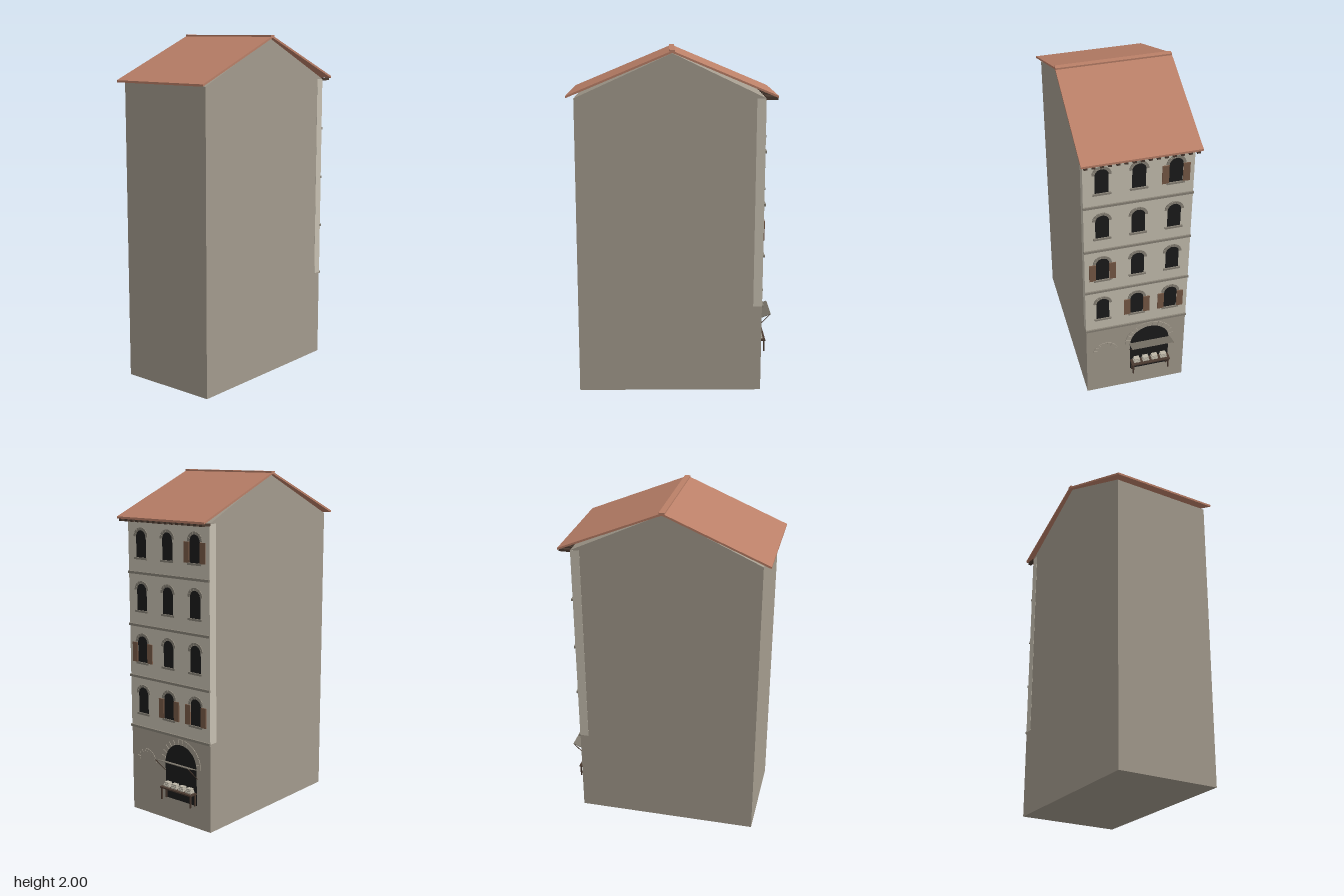
import * as THREE from 'three';

const material = (name, color, side = THREE.FrontSide) => {
  const m = new THREE.MeshStandardMaterial({ color, side });
  m.name = name;
  return m;
};

export function createModel() {
  const stone = material('wall stone', 0xa49c8e);
  const plaster = material('plaster', 0xc9c2b3);
  const tile = material('roof tile', 0xbb8068);
  const trim = material('trim stone', 0x8a8478);
  const dark = material('dark opening', 0x1b1b1b, THREE.DoubleSide);
  const brown = material('shutter wood', 0x785a47);
  const timber = material('dark timber', 0x4a3a30);
  const canvas = material('awning cloth', 0x7b756a, THREE.DoubleSide);
  const goodsMat = material('pale goods', 0xbdb7a8);

  const model = new THREE.Group();
  model.name = 'townHouse';
  const CX = -0.0025, BACK = 0.557, FACE = -0.516, RIDGE = 0.008;

  const add = (parent, name, geo, mat, x = 0, y = 0, z = 0) => {
    const mesh = new THREE.Mesh(geo, mat);
    mesh.name = name;
    mesh.position.set(x, y, z);
    parent.add(mesh);
    return mesh;
  };
  const box = (parent, name, mat, w, h, d, x, y, z) =>
    add(parent, name, new THREE.BoxGeometry(w, h, d), mat, x, y, z);
  // Profile of [z, y] points extruded along x, centred on the house
  const prism = (name, mat, points, width) => {
    const shape = new THREE.Shape(points.map(p => new THREE.Vector2(...p)));
    const geo = new THREE.ExtrudeGeometry(shape, { depth: width, bevelEnabled: false });
    geo.rotateY(-Math.PI / 2);
    return add(model, name, geo, mat, CX + width / 2);
  };

  // House body with gables, and the plastered upper front
  prism('houseBody', stone,
    [[FACE, 0], [BACK, 0], [BACK, 1.735], [RIDGE, 1.983], [FACE, 1.735]], 0.609);
  box(model, 'upperPlaster', plaster, 0.611, 1.215, 0.052, CX, 1.1275, -0.491);

  // Roof slopes and ridge cap
  for (const [name, edge] of [['rearRoof', 0.601], ['streetRoof', -0.583]]) {
    prism(name, tile, [[RIDGE, 1.985], [edge, 1.738], [edge, 1.75], [RIDGE, 1.997]], 0.65);
  }
  box(model, 'ridgeCap', tile, 0.65, 0.015, 0.032, CX, 1.9925, RIDGE);

  // Street front: local +z points out of the wall
  const front = new THREE.Group();
  front.name = 'streetFront';
  front.position.set(CX, 0, -0.517);
  front.rotation.y = Math.PI;
  model.add(front);

  // Rafter tails under the eave
  for (let i = 0; i < 15; i++) {
    box(front, 'rafterTail', timber, 0.02, 0.014, 0.066, -0.301 + i * 0.043, 1.732, 0.032);
  }

  // Half ring of separate wedge stones
  const archStones = (parent, r0, r1, count, depth, mat, y) => {
    const step = Math.PI / count, gap = step * 0.05;
    for (let i = 0; i < count; i++) {
      const a = i * step + gap, b = (i + 1) * step - gap;
      const shape = new THREE.Shape();
      shape.absarc(0, 0, r1, a, b, false);
      shape.absarc(0, 0, r0, b, a, true);
      add(parent, 'archStone', new THREE.ExtrudeGeometry(shape,
        { depth, bevelEnabled: false, curveSegments: 3 }), mat, 0, y, 0);
    }
  };
  // Flat round-headed opening
  const opening = (parent, name, r, bottom, spring) => {
    const shape = new THREE.Shape();
    shape.moveTo(-r, bottom);
    shape.lineTo(r, bottom);
    shape.lineTo(r, spring);
    shape.absarc(0, spring, r, 0, Math.PI, false);
    add(parent, name, new THREE.ShapeGeometry(shape, 12), dark, 0, 0, 0.002);
  };

  // Four storeys: string course and three windows each
  const shuttered = [[1, 2], [0], [], [2]];
  for (let floor = 0; floor < 4; floor++) {
    const y = 0.52 + floor * 0.304;
    box(front, 'stringCourse', trim, 0.614, 0.014, 0.01, 0, y, 0.004);
    for (let col = 0; col < 3; col++) {
      const win = new THREE.Group();
      win.name = 'window';
      win.position.set((col - 1) * 0.203, y, 0);
      front.add(win);
      opening(win, 'windowOpening', 0.038, 0.088, 0.205);
      archStones(win, 0.038, 0.054, 7, 0.006, trim, 0.205);
      box(win, 'windowSill', trim, 0.1, 0.012, 0.01, 0, 0.083, 0.004);
      if (shuttered[floor].includes(col)) {
        for (const s of [-1, 1]) {
          box(win, 'shutter', brown, 0.038, 0.115, 0.006, s * 0.058, 0.145, 0.005);
        }
      }
    }
  }

  // Walled-up small arch
  const blind = new THREE.Group();
  blind.name = 'blindArch';
  blind.position.x = -0.188;
  front.add(blind);
  archStones(blind, 0.055, 0.076, 9, 0.003, stone, 0.32);

  // Shop opening with arch
  const shop = new THREE.Group();
  shop.name = 'shop';
  shop.position.x = 0.085;
  front.add(shop);
  opening(shop, 'shopOpening', 0.12, 0.135, 0.352);
  archStones(shop, 0.12, 0.152, 13, 0.004, stone, 0.352);

  // Awning, hinged at the wall and propped by two struts
  const rod = (name, a, b, r) => {
    const from = new THREE.Vector3(...a), dir = new THREE.Vector3(...b).sub(from);
    const m = add(shop, name, new THREE.CylinderGeometry(r, r, dir.length(), 6), timber);
    m.position.copy(from).addScaledVector(dir, 0.5);
    m.quaternion.setFromUnitVectors(new THREE.Vector3(0, 1, 0), dir.normalize());
  };
  const awning = box(shop, 'awning', canvas, 0.257, 0.004, 0.089, 0, 0.366, 0.041);
  awning.rotation.x = -Math.atan2(0.032, 0.083);
  for (const s of [-1, 1]) {
    rod('awningStrut', [s * 0.124, 0.297, 0], [s * 0.124, 0.38, 0.081], 0.0025);
  }

  // Market table with stacked goods
  box(shop, 'tableTop', timber, 0.24, 0.008, 0.054, 0, 0.208, 0.027);
  for (const x of [-0.11, 0.11]) {
    for (const z of [0.008, 0.046]) {
      box(shop, 'tableLeg', timber, 0.008, 0.07, 0.008, x, 0.17, z);
    }
  }
  for (let i = 0; i < 4; i++) {
    for (let j = 0; j < 3; j++) {
      box(shop, 'goods', goodsMat, 0.04 - j * 0.003, 0.008, 0.034 - j * 0.003,
        -0.084 + i * 0.056, 0.2165 + j * 0.0095, 0.021);
    }
  }
  return model;
}
